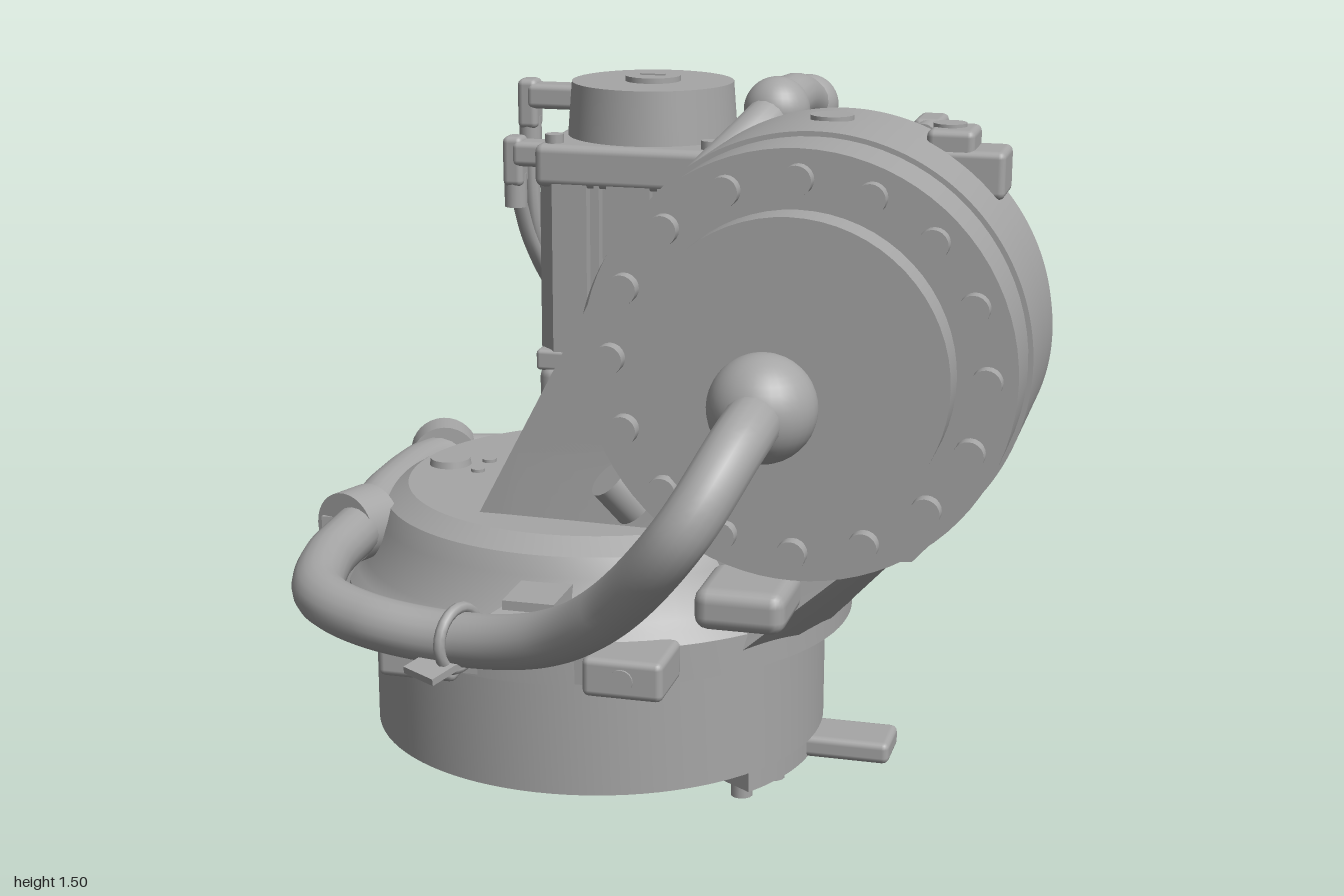
import * as THREE from 'three';
import { toCreasedNormals } from 'three/addons/utils/BufferGeometryUtils.js';
import { RoundedBoxGeometry } from 'three/addons/geometries/RoundedBoxGeometry.js';

const metal = new THREE.MeshStandardMaterial({ color: 0xa6a6a6 });
metal.name = 'castGrey';

const V = (p) => new THREE.Vector3(...p);

function add(parent, name, geo, pos = [0, 0, 0], rot = [0, 0, 0]) {
  const m = new THREE.Mesh(geo, metal);
  m.name = name;
  m.position.set(...pos);
  m.rotation.set(...rot);
  parent.add(m);
  return m;
}
const box = (p, name, size, pos, rot) => add(p, name, new THREE.BoxGeometry(...size), pos, rot);
const rbox = (p, name, size, pos, rot, r = 0.015) => add(p, name, new RoundedBoxGeometry(...size, 2, r), pos, rot);
const cyl = (p, name, rt, rb, h, pos, rot, n = 48) => add(p, name, new THREE.CylinderGeometry(rt, rb, h, n), pos, rot);
const ball = (p, name, r, pos) => add(p, name, new THREE.SphereGeometry(r, 32, 20), pos);
const ALONG_Z = [Math.PI / 2, 0, 0];
const ALONG_X = [0, 0, Math.PI / 2];

function hose(p, name, pts, r, segs = 90) {
  const curve = new THREE.CatmullRomCurve3(pts.map(V));
  return add(p, name, new THREE.TubeGeometry(curve, segs, r, r > 0.04 ? 18 : 10));
}

// Solid between horizontal rings; each ring runs anticlockwise seen from above
function loft(rings) {
  const n = rings[0].length, idx = [];
  for (let k = 0; k < rings.length - 1; k++) {
    for (let i = 0; i < n; i++) {
      const a = k * n + i, b = k * n + (i + 1) % n;
      idx.push(a, b, b + n, a, b + n, a + n);
    }
  }
  const t = (rings.length - 1) * n;
  for (let i = 1; i < n - 1; i++) idx.push(t, t + i, t + i + 1);
  const g = new THREE.BufferGeometry();
  g.setAttribute('position', new THREE.Float32BufferAttribute(rings.flat(2), 3));
  g.setIndex(idx);
  return toCreasedNormals(g, 0.9);
}

// Extrusion from z0 forward; an optional rule gives each vertex a new z
function extrude(shape, depth, z0 = 0, rule = null) {
  const g = new THREE.ExtrudeGeometry(shape, { depth, curveSegments: 64, bevelEnabled: false });
  g.translate(0, 0, z0);
  const p = g.attributes.position;
  if (rule) for (let i = 0; i < p.count; i++) p.setZ(i, rule(p.getX(i), p.getY(i), p.getZ(i)));
  return toCreasedNormals(g, 0.5);
}

// Servo motor standing on its local y = 0
function motor(name) {
  const g = new THREE.Group();
  g.name = name;
  const h = 0.222, pts = [];
  const side = [[-h, h - 0.04], [-h + 0.04, h]];
  for (const c of [-0.075, 0.075]) {
    for (const o of [-0.024, 0.006]) {
      side.push([c + o, h], [c + o, h - 0.03], [c + o + 0.018, h - 0.03], [c + o + 0.018, h]);
    }
  }
  for (let k = 0; k < 4; k++) {
    const a = -k * Math.PI / 2, c = Math.cos(a), s = Math.sin(a);
    for (const [x, y] of side) pts.push(new THREE.Vector2(x * c - y * s, x * s + y * c));
  }
  add(g, 'finnedBody', extrude(new THREE.Shape(pts), 0.43), [0, 0.01, 0], [-Math.PI / 2, 0, 0]);
  rbox(g, 'mountPlate', [0.45, 0.05, 0.45], [0, 0.02, 0], undefined, 0.01);
  rbox(g, 'endPlate', [0.45, 0.1, 0.45], [0, 0.48, 0], [0, 0, 0], 0.02);
  cyl(g, 'endCap', 0.19, 0.2, 0.13, [0, 0.59, 0]);
  cyl(g, 'capDisc', 0.065, 0.065, 0.015, [0, 0.66, 0]);
  box(g, 'discSlot', [0.06, 0.006, 0.012], [0, 0.668, 0]);
  for (const x of [-0.185, 0.185]) for (const z of [-0.185, 0.185]) {
    cyl(g, 'cornerBolt', 0.022, 0.022, 0.03, [x, 0.535, z], undefined, 12);
  }
  return g;
}

export function createModel() {
  const model = new THREE.Group();
  model.name = 'robotAxisUnit';
  const bx = -0.16, bz = -0.12;

  // Round base and domed turret with a through bore
  const profile = [[0.2, 0.08], [0.51, 0.08], [0.51, 0.35], [0.57, 0.35], [0.57, 0.43], [0.55, 0.45], [0.53, 0.47],
    [0.5, 0.56], [0.48, 0.6], [0.43, 0.63], [0.2, 0.63], [0.2, 0.08]].map((p) => new THREE.Vector2(...p));
  add(model, 'turretBase', toCreasedNormals(new THREE.LatheGeometry(profile, 96), 0.5), [bx, 0, bz]);
  for (const z of [0.43, -0.67]) for (const x of [-0.375, 0.065]) {
    rbox(model, 'flangePad', [0.17, 0.085, 0.16], [x, 0.4, z]);
    cyl(model, 'padBolt', 0.025, 0.025, 0.01, [x, 0.4, z + Math.sign(z) * 0.08], ALONG_Z, 16);
  }
  box(model, 'frontLedge', [0.3, 0.09, 0.1], [bx, 0.4, 0.39]);
  cyl(model, 'turretPlug', 0.045, 0.05, 0.03, [-0.52, 0.63, -0.13]);
  for (const z of [-0.17, -0.09]) cyl(model, 'dowel', 0.016, 0.016, 0.01, [-0.44, 0.632, z], undefined, 12);

  // Stop plate under the base
  const arc = new THREE.Shape();
  arc.absarc(0, 0, 0.5, -0.6, 0.6, false);
  arc.absarc(0, 0, 0.38, 0.6, -0.6, true);
  add(model, 'stopPlate', extrude(arc, 0.05), [bx, 0.03, bz], [-Math.PI / 2, 0, 0]);
  rbox(model, 'stopTab', [0.24, 0.05, 0.13], [0.4, 0.055, -0.12]);
  for (let i = -2; i <= 2; i++) {
    const a = i * 0.27;
    cyl(model, 'stopBolt', 0.024, 0.024, 0.035, [bx + 0.45 * Math.cos(a), 0.0175, bz + 0.45 * Math.sin(a)], undefined, 12);
  }

  // Teardrop arm housing, open at the back: thin on the left, flared back on the lower right
  const cx = 0.38, cy = 1.03;
  const tear = () => {
    const s = new THREE.Shape();
    s.moveTo(0.6, 0.6);
    for (let i = 1; i < 4; i++) s.lineTo(0.6 + 0.029 * i, 0.6 + 0.0325 * i);
    s.absarc(cx, cy, 0.45, -0.73, 2.65, false);
    for (let i = 1; i < 17; i++) s.lineTo(-0.017 - 0.02 * i, 1.243 - 0.0383 * i);
    s.lineTo(-0.36, 0.5);
    s.closePath();
    return s;
  };
  const backEdge = (x, y, z) => {
    if (z > 0.12) return z;
    const left = 0.11 - 0.24 * THREE.MathUtils.smoothstep(x, -0.27, 0.06);
    const flare = 0.37 * Math.max(0, (1.1 - y) / 0.72) ** 1.4 * THREE.MathUtils.smoothstep(x, 0.3, 0.6);
    return Math.max(z, left) - (z < -0.1 ? flare : 0);
  };
  add(model, 'housingFront', extrude(tear(), 0.2, 0, backEdge));
  const rim = tear();
  rim.holes.push(new THREE.Path().absarc(cx, cy, 0.4, 0, Math.PI * 2, true));
  add(model, 'housingRim', extrude(rim, 0.13, -0.13, backEdge));

  // Flared skirt blending the housing into the turret
  const low = [[-0.36, 0.2], [-0.1, 0.24], [0.23, 0.27], [0.33, 0.13], [0.38, 0], [0.4, -0.12], [0.385, -0.25], [0.34, -0.37], [0.24, -0.51],
    [0.1, -0.38], [0.05, -0.05], [-0.1, 0.09], [-0.36, 0.11]];
  const high = [[-0.24, 0.2], [0.1, 0.2], [0.73, 0.2], [0.765, 0.15], [0.77, 0.05], [0.77, -0.05], [0.77, -0.14], [0.77, -0.2], [0.755, -0.24],
    [0.62, -0.2], [0.15, -0.13], [-0.03, -0.07], [-0.23, 0.1]];
  const rings = [];
  for (let k = 0; k <= 14; k++) {
    const t = k / 14, e = 1 - (1 - t) ** 1.25;
    rings.push(low.map(([x, z], i) => [x + (high[i][0] - x) * t, 0.37 + 0.43 * t, z + (high[i][1] - z) * e]));
  }
  add(model, 'flaredSkirt', loft(rings));
  rbox(model, 'liftingBoss', [0.2, 0.1, 0.13], [0.635, 1.37, -0.065]);
  rbox(model, 'bossBlock', [0.1, 0.12, 0.12], [0.62, 1.4, -0.065]);
  cyl(model, 'bossBolt', 0.035, 0.035, 0.01, [0.61, 1.462, -0.07]);
  cyl(model, 'housingPlug', 0.045, 0.045, 0.02, [cx, 1.478, 0.02]);
  rbox(model, 'frontLug', [0.19, 0.09, 0.2], [0.285, 0.535, 0.33], undefined, 0.03);
  cyl(model, 'drainBoss', 0.045, 0.05, 0.09, [-0.01, 0.71, 0.23], [0.5, 0, 0.6]);

  // Gear drum, bolt ring and output face
  cyl(model, 'gearDrum', 0.44, 0.44, 0.15, [cx, cy, 0.275], ALONG_Z, 80);
  cyl(model, 'outputFace', 0.32, 0.32, 0.09, [cx, cy, 0.385], ALONG_Z, 64);
  for (let i = 0; i < 16; i++) {
    const a = i * Math.PI / 8;
    cyl(model, 'drumBolt', 0.031, 0.031, 0.04, [cx + 0.38 * Math.cos(a), cy + 0.38 * Math.sin(a), 0.36], ALONG_Z, 20);
  }

  // Upright motor on its tapered gearbox
  const upright = motor('uprightMotor');
  upright.position.set(-0.17, 0.8, -0.61);
  model.add(upright);
  rbox(model, 'gearboxCollar', [0.44, 0.15, 0.44], [-0.17, 0.735, -0.6], undefined, 0.03);
  cyl(model, 'gearboxCone', 0.215, 0.18, 0.26, [-0.17, 0.57, -0.575]);
  cyl(model, 'gearboxFoot', 0.21, 0.25, 0.06, [-0.17, 0.62, -0.52]);

  // Horizontal motor behind the housing
  const rear = motor('horizontalMotor');
  rear.position.set(0.385, cy, -0.31);
  rear.rotation.x = -Math.PI / 2;
  model.add(rear);
  rbox(model, 'motorAdapter', [0.42, 0.44, 0.32], [0.385, cy, -0.14], undefined, 0.03);
  rbox(model, 'adapterFlange', [0.455, 0.455, 0.05], [0.385, cy, -0.29], undefined, 0.008);

  // Motor plugs: elbow body, collar and cable end
  for (const [y, z] of [[1.4, -0.68], [1.28, -0.56]]) {
    rbox(model, 'plugBody', [0.13, 0.06, 0.07], [-0.43, y, z]);
    rbox(model, 'plugElbow', [0.05, 0.12, 0.06], [-0.495, y - 0.02, z]);
    cyl(model, 'plugCollar', 0.027, 0.027, 0.08, [-0.495, y - 0.09, z], undefined, 16);
  }
  for (const [x, z] of [[0.3, -0.78], [0.45, -0.89]]) {
    rbox(model, 'plugBody', [0.07, 0.13, 0.06], [x, 1.27, z]);
    rbox(model, 'plugElbow', [0.07, 0.06, 0.12], [x, 1.33, z + 0.03]);
    cyl(model, 'plugCollar', 0.028, 0.028, 0.08, [x, 1.33, z + 0.11], ALONG_Z, 16);
  }

  // Thin cables
  for (const d of [0, 1]) {
    hose(model, 'motorCable', [[-0.495, 1.32 - 0.12 * d, -0.68 + 0.12 * d], [-0.485, 1.05, -0.7 + 0.06 * d], [-0.45, 0.88, -0.82 + 0.03 * d],
      [-0.36, 0.82 - 0.04 * d, -0.94 + 0.04 * d], [-0.2, 0.83 - 0.04 * d, -0.96 + 0.05 * d], [0.02, 0.87 - 0.04 * d, -0.92 + 0.03 * d], [0.22, 0.88, -0.88]], 0.018);
    hose(model, 'plugCable', [[0.3 + 0.15 * d, 1.33, -0.65 - 0.11 * d], [0.27 + 0.14 * d, 1.34, -0.57], [0.2 + 0.05 * d, 1.37, -0.5], [0.16, 1.38, -0.45]], 0.018, 30);
  }

  // Hose rising through the bore to a jointed link above the motors
  hose(model, 'boreHose', [[-0.16, 0.07, -0.12], [-0.16, 0.5, -0.13], [-0.16, 0.95, -0.14], [-0.1, 1.12, -0.16], [0.03, 1.27, -0.24], [0.13, 1.38, -0.37], [0.16, 1.42, -0.46]], 0.052);
  cyl(model, 'boreHoseEnd', 0.052, 0.052, 0.02, [-0.16, 0.08, -0.12], undefined, 20);
  hose(model, 'linkHose', [[0.16, 1.42, -0.46], [0.17, 1.43, -0.6], [0.17, 1.39, -0.77]], 0.055, 30);
  ball(model, 'linkJoint', 0.075, [0.16, 1.42, -0.46]);
  ball(model, 'linkEndJoint', 0.07, [0.17, 1.39, -0.77]);

  // Main hose from the front ball, round the left of the turret, to the rear motor
  hose(model, 'mainHose', [[0.38, 1.03, 0.65], [0.37, 1.0, 0.83], [0.3, 0.87, 0.94], [0.13, 0.67, 0.84], [-0.02, 0.57, 0.75], [-0.2, 0.525, 0.68],
    [-0.42, 0.53, 0.64], [-0.56, 0.54, 0.55], [-0.62, 0.55, 0.38], [-0.63, 0.56, 0.15], [-0.65, 0.57, -0.1], [-0.64, 0.56, -0.38], [-0.54, 0.53, -0.54],
    [-0.4, 0.5, -0.68], [-0.15, 0.48, -0.76], [0.1, 0.48, -0.76], [0.27, 0.57, -0.8], [0.34, 0.82, -0.88]], 0.055, 200);
  ball(model, 'frontBall', 0.105, [0.38, 1.03, 0.65]);
  rbox(model, 'rearHoseClip', [0.14, 0.05, 0.12], [0.34, 0.82, -0.88]);

  // Hose clamps and brackets
  for (const [z, yaw] of [[0.14, 0.35], [-0.42, -0.35]]) {
    cyl(model, 'hoseClamp', 0.08, 0.08, 0.09, [-0.64, 0.56, z], [Math.PI / 2, 0, yaw], 32);
    box(model, 'clampFoot', [0.05, 0.2, 0.09], [-0.69, 0.48, z * 0.9]);
  }
  box(model, 'frontStrap', [0.08, 0.015, 0.32], [-0.205, 0.5, 0.62], [0.2, -0.45, 0]);
  box(model, 'strapFoot', [0.11, 0.1, 0.14], [-0.13, 0.5, 0.44]);
  add(model, 'strapLoop', new THREE.TorusGeometry(0.062, 0.012, 8, 24), [-0.22, 0.525, 0.675], [0, 1.25, 0]);
  rbox(model, 'sideBracket', [0.05, 0.12, 0.12], [-0.72, 0.3, -0.13]);
  rbox(model, 'sidePin', [0.12, 0.03, 0.06], [-0.78, 0.25, -0.13], undefined, 0.01);
  cyl(model, 'pinBolt', 0.016, 0.016, 0.07, [-0.8, 0.26, -0.13], undefined, 12);
  cyl(model, 'bracketBolt', 0.02, 0.02, 0.03, [-0.74, 0.42, -0.13], ALONG_X, 12);
  return model;
}
